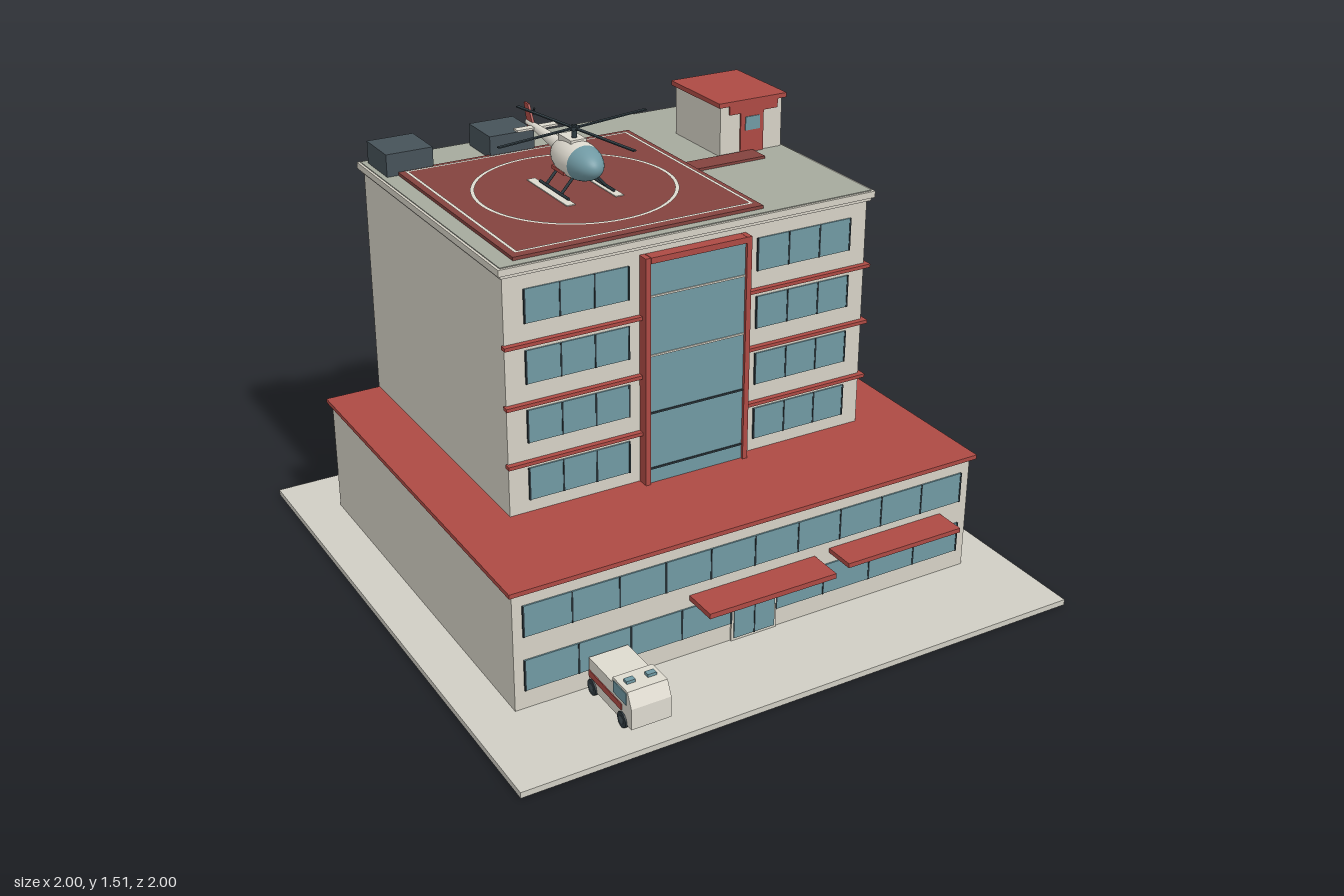
import * as THREE from 'three';

const mat = (name, color) => Object.assign(new THREE.MeshStandardMaterial({ color }), { name });
const wall = mat('wall', 0xd6d2c6), paving = mat('paving', 0xd0cec4), red = mat('red', 0xad4a44),
  padRed = mat('pad red', 0x83423e), roofGrey = mat('roof grey', 0xa5a99d), glass = mat('glass', 0x7099a3),
  slate = mat('slate', 0x465259), dark = mat('dark trim', 0x2e3a40), white = mat('white', 0xdedacf);

function add(parent, name, geometry, material) {
  const m = new THREE.Mesh(geometry, material);
  m.name = name;
  parent.add(m);
  return m;
}

// Box given by its limits on each axis
function box(parent, name, material, x0, x1, y0, y1, z0, z1) {
  const m = add(parent, name, new THREE.BoxGeometry(x1 - x0, y1 - y0, z1 - z0), material);
  m.position.set((x0 + x1) / 2, (y0 + y1) / 2, (z0 + z1) / 2);
  return m;
}

// Ribbon of panes with dark mullions; runs along x on a front wall or along z on a side wall
function windowBand(parent, side, face, a, b, y0, y1, panes) {
  const g = new THREE.Group();
  g.name = 'windowBand';
  parent.add(g);
  const put = (name, m, u0, u1, depth) => side
    ? box(g, name, m, face - 0.002, face + depth, y0, y1, u0, u1)
    : box(g, name, m, u0, u1, y0, y1, face - 0.002, face + depth);
  put('glazing', glass, a, b, 0.005);
  for (let i = 0; i <= panes; i++) {
    const u = a + ((b - a) * i) / panes;
    put('mullion', dark, u - 0.0025, u + 0.0025, 0.007);
  }
}

function buildPodium(root) {
  const g = new THREE.Group();
  g.name = 'podium';
  root.add(g);
  box(g, 'podiumWalls', wall, -0.845, 0.845, 0.02, 0.43, -0.785, 0.65);
  box(g, 'podiumRoof', red, -0.86, 0.86, 0.43, 0.445, -0.8, 0.668);
  windowBand(g, false, 0.65, -0.81, 0.81, 0.275, 0.383, 10);
  windowBand(g, false, 0.65, -0.81, -0.085, 0.085, 0.193, 4.5 | 0);
  windowBand(g, false, 0.65, 0.085, 0.81, 0.085, 0.193, 4.5 | 0);
  for (const y of [0.085, 0.275]) windowBand(g, true, 0.845, -0.765, 0.625, y, y + 0.108, 9);
  // Entrance and canopies
  box(g, 'entranceFrame', wall, -0.085, 0.085, 0.02, 0.205, 0.64, 0.656);
  box(g, 'entranceGlass', glass, -0.076, 0.076, 0.03, 0.2, 0.65, 0.66);
  box(g, 'entranceDivider', dark, -0.002, 0.002, 0.03, 0.2, 0.65, 0.662);
  box(g, 'entranceCanopy', red, -0.237, 0.232, 0.218, 0.236, 0.64, 0.772);
  box(g, 'sideCanopy', red, 0.288, 0.735, 0.232, 0.248, 0.64, 0.76);
}

function buildTower(root) {
  const g = new THREE.Group();
  g.name = 'tower';
  root.add(g);
  box(g, 'towerWalls', wall, -0.66, 0.655, 0.02, 1.25, -0.805, 0.265);
  box(g, 'corniceLower', wall, -0.667, 0.667, 1.25, 1.262, -0.812, 0.273);
  box(g, 'corniceUpper', wall, -0.677, 0.675, 1.262, 1.284, -0.822, 0.282);
  box(g, 'roofDeck', roofGrey, -0.668, 0.666, 1.28, 1.287, -0.813, 0.273);
  for (const y of [0.488, 0.688, 0.889, 1.09]) {
    windowBand(g, false, 0.265, -0.59, -0.235, y, y + 0.112, 3);
    windowBand(g, false, 0.265, 0.235, 0.59, y, y + 0.112, 3);
    windowBand(g, true, 0.655, -0.765, 0.23, y, y + 0.112, 6);
  }
  // Red bands between floors on the front and left sides
  for (const y of [0.617, 0.817, 1.019]) {
    box(g, 'frontBand', red, -0.667, 0.669, y, y + 0.012, 0.26, 0.284);
    box(g, 'sideBand', red, 0.65, 0.669, y, y + 0.012, -0.787, 0.262);
  }
  // Tall glazed bay in a red frame
  for (const s of [-1, 1]) {
    const x = -0.003 + s * 0.183;
    box(g, 'bayFramePost', red, x - 0.009, x + 0.009, 0.445, 1.23, 0.26, 0.305);
  }
  box(g, 'bayFrameTop', red, -0.175, 0.17, 1.21, 1.23, 0.26, 0.305);
  box(g, 'bayGlass', glass, -0.178, 0.173, 0.445, 1.212, 0.26, 0.295);
  [0.498, 0.697, 0.897, 1.098].forEach((y, i) =>
    box(g, 'bayTransom', i < 2 ? dark : wall, -0.175, 0.17, y - 0.003, y + 0.003, 0.29, 0.299));
}

function buildRoof(root) {
  const g = new THREE.Group();
  g.name = 'roofEquipment';
  root.add(g);
  for (const x of [-0.65, -0.274]) box(g, 'coolingUnit', slate, x, x + 0.167, 1.285, 1.365, -0.787, -0.62);
  // Stair house with its door
  box(g, 'stairHouse', wall, 0.412, 0.658, 1.285, 1.462, -0.545, -0.25);
  box(g, 'stairRoof', red, 0.4, 0.67, 1.462, 1.478, -0.557, -0.238);
  box(g, 'doorHeader', red, 0.445, 0.637, 1.43, 1.464, -0.252, -0.242);
  box(g, 'door', red, 0.49, 0.582, 1.287, 1.435, -0.252, -0.244);
  box(g, 'doorWindow', glass, 0.508, 0.566, 1.367, 1.415, -0.246, -0.241);
  // Landing pad and its painted marks
  box(g, 'landingPad', padRed, -0.61, 0.268, 1.285, 1.298, -0.632, 0.242);
  box(g, 'walkway', padRed, 0.268, 0.537, 1.285, 1.296, -0.24, -0.16);
  const border = new THREE.Shape().moveTo(-0.59, -0.215).lineTo(0.25, -0.215).lineTo(0.25, 0.613).lineTo(-0.59, 0.613);
  border.holes.push(new THREE.Path().moveTo(-0.579, -0.204).lineTo(-0.579, 0.602).lineTo(0.239, 0.602).lineTo(0.239, -0.204));
  const square = add(g, 'padBorder', new THREE.ShapeGeometry(border), white);
  square.rotation.x = -Math.PI / 2;
  square.position.y = 1.3;
  const ring = add(g, 'padCircle', new THREE.RingGeometry(0.325, 0.338, 64), white);
  ring.rotation.x = -Math.PI / 2;
  ring.position.set(-0.172, 1.3, -0.198);
  for (const x of [-0.26, -0.085]) box(g, 'padBar', white, x - 0.015, x + 0.015, 1.297, 1.301, -0.34, -0.055);
}

function buildHelicopter(root) {
  const g = new THREE.Group();
  g.name = 'helicopter';
  g.position.set(-0.17, 1.3, -0.2);
  root.add(g);
  // Ellipsoid cabin split into nose glass and shell
  const split = 1.2;
  [['noseGlass', glass, 0, split], ['shell', white, split, Math.PI - split]].forEach(([name, m, from, len]) => {
    const part = add(g, name, new THREE.SphereGeometry(1, 24, 12, 0, Math.PI * 2, from, len).rotateX(Math.PI / 2), m);
    part.scale.set(0.068, 0.063, 0.135);
    part.position.set(0, 0.1, 0.017);
  });
  box(g, 'sideStripe', red, -0.061, 0.061, 0.06, 0.072, -0.045, 0.04);
  // Tail
  const boom = add(g, 'tailBoom', new THREE.CylinderGeometry(0.009, 0.026, 0.26, 12), white);
  boom.rotation.x = -Math.PI / 2 + 0.06;
  boom.position.set(0, 0.118, -0.21);
  box(g, 'stabiliser', white, -0.075, 0.075, 0.12, 0.127, -0.292, -0.262);
  const fin = new THREE.Shape().moveTo(0.28, 0.11).lineTo(0.33, 0.1).lineTo(0.355, 0.19).lineTo(0.325, 0.19);
  const finMesh = add(g, 'tailFin', new THREE.ExtrudeGeometry(fin, { depth: 0.008, bevelEnabled: false }), red);
  finMesh.rotation.y = Math.PI / 2;
  finMesh.position.x = -0.004;
  for (const a of [0.6, 0.6 + Math.PI / 2]) {
    const blade = box(g, 'tailRotorBlade', dark, 0.014, 0.018, 0.136, 0.142, -0.385, -0.295);
    blade.rotation.x = a;
  }
  // Main rotor
  box(g, 'engineCover', white, -0.028, 0.028, 0.145, 0.168, -0.06, 0.03);
  add(g, 'mast', new THREE.CylinderGeometry(0.008, 0.01, 0.06, 10), dark).position.y = 0.18;
  add(g, 'hub', new THREE.CylinderGeometry(0.017, 0.017, 0.012, 12), dark).position.y = 0.199;
  for (const a of [0.19, 0.19 + Math.PI / 2]) {
    const blade = add(g, 'rotorBlade', new THREE.BoxGeometry(0.6, 0.004, 0.013), dark);
    blade.position.y = 0.199;
    blade.rotation.y = a;
  }
  // Skids
  for (const s of [-1, 1]) {
    const skid = add(g, 'skid', new THREE.CylinderGeometry(0.005, 0.005, 0.2, 8), dark);
    skid.rotation.x = Math.PI / 2;
    skid.position.set(s * 0.082, 0.008, 0.012);
    for (const z of [-0.045, 0.06]) {
      const path = new THREE.LineCurve3(new THREE.Vector3(s * 0.035, 0.06, z), new THREE.Vector3(s * 0.082, 0.008, z));
      add(g, 'skidStrut', new THREE.TubeGeometry(path, 1, 0.005, 6), dark);
    }
  }
}

function buildVan(root) {
  const g = new THREE.Group();
  g.name = 'ambulance';
  g.position.set(-0.533, 0, 0);
  root.add(g);
  // Side profile (z, y) extruded across the width
  const side = new THREE.Shape().moveTo(0.665, 0.04).lineTo(0.928, 0.04).lineTo(0.928, 0.112)
    .lineTo(0.905, 0.16).lineTo(0.815, 0.16).lineTo(0.81, 0.14).lineTo(0.665, 0.14);
  const body = add(g, 'vanBody', new THREE.ExtrudeGeometry(side, { depth: 0.136, bevelEnabled: false }), white);
  body.rotation.y = -Math.PI / 2;
  body.position.x = 0.068;
  for (const s of [-1, 1]) {
    const x = s * 0.069;
    box(g, 'vanStripe', red, x - 0.002, x + 0.002, 0.076, 0.098, 0.668, 0.87);
    box(g, 'cabWindow', glass, x - 0.002, x + 0.002, 0.112, 0.152, 0.823, 0.9);
    box(g, 'beacon', glass, s * 0.036 - 0.015, s * 0.036 + 0.015, 0.158, 0.17, 0.85, 0.87);
    for (const z of [0.688, 0.875]) {
      const tyre = add(g, 'wheel', new THREE.CylinderGeometry(0.026, 0.026, 0.02, 16), dark);
      const hub = add(g, 'wheelHub', new THREE.CylinderGeometry(0.013, 0.013, 0.022, 12), slate);
      for (const m of [tyre, hub]) {
        m.rotation.z = Math.PI / 2;
        m.position.set(s * 0.063, 0.046, z);
      }
    }
  }
}

export function createModel() {
  const root = new THREE.Group();
  root.name = 'hospital';
  box(root, 'groundSlab', paving, -1, 1, 0, 0.02, -1, 1);
  for (const build of [buildPodium, buildTower, buildRoof, buildHelicopter, buildVan]) build(root);
  return root;
}
